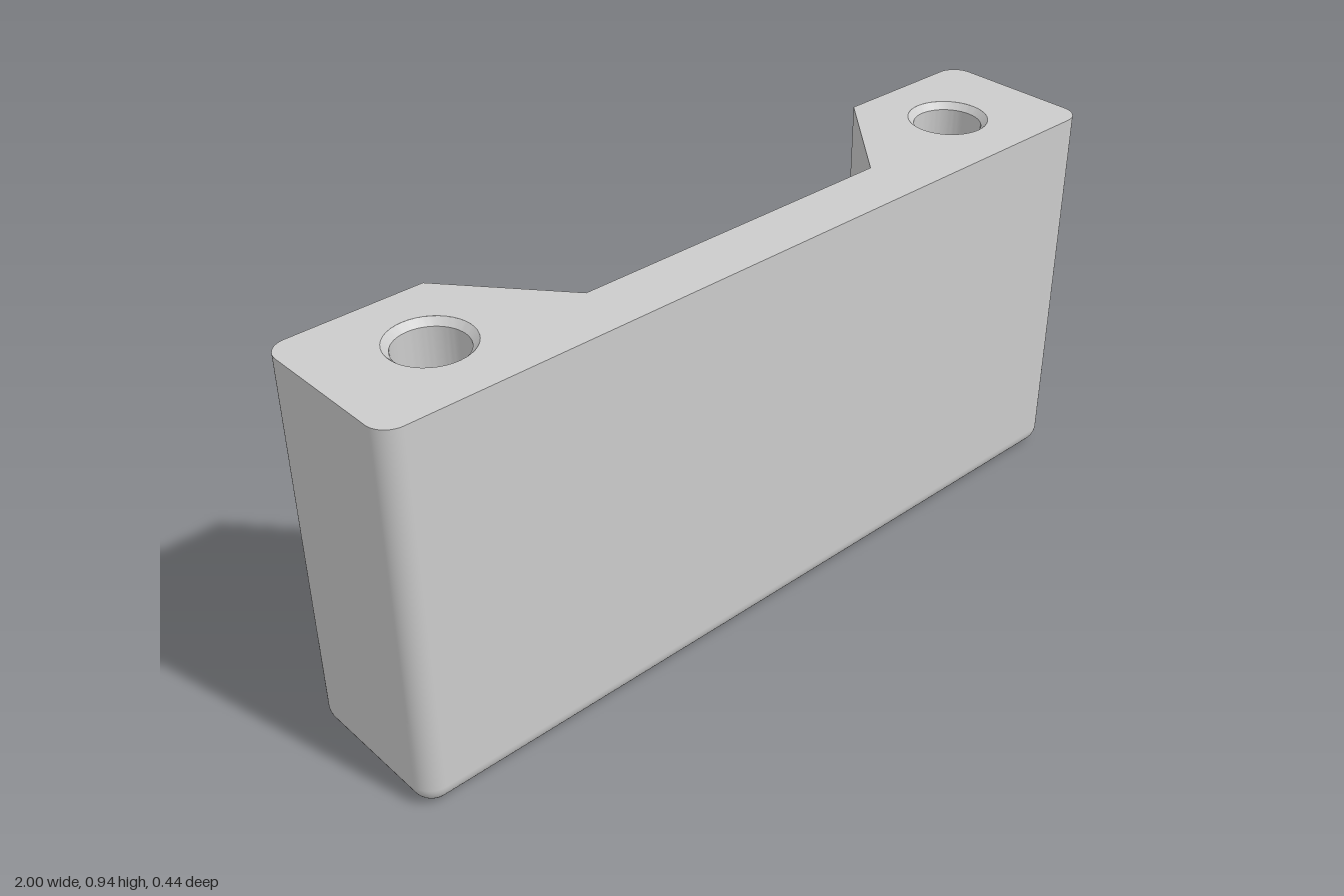
import * as THREE from 'three';
import { toCreasedNormals } from 'three/addons/utils/BufferGeometryUtils.js';

const W = 1, BACK = -0.18, FRONT = 0.22, TOP = 0.945, R = 0.05;
const FLOOR = 0.23, FLOOR_IN = 0.44;          // pocket floor height at the back and at the inner wall
const OUT_X = 0.63, IN_X = 0.415, IN_Z = 0.075; // pocket trapezoid
const HOLE_X = 0.75, HOLE_Z = 0.015, HOLE_R = 0.095;
const CX = W - R, CF = FRONT - R, CB = BACK + R; // centres of the corner rounding

const material = new THREE.MeshStandardMaterial({ color: 0xcccccc });

function add(group, name, geometry) {
  const mesh = new THREE.Mesh(geometry, material);
  mesh.name = name;
  group.add(mesh);
  return mesh;
}

// Lower block: rounded-rectangle rings sweeping round the bottom edge, then straight up
function lowerBlock() {
  const corners = [[CX, CF], [-CX, CF], [-CX, CB], [CX, CB]];
  const seg = 10, n = 4 * (seg + 1), pos = [], nor = [], idx = [];
  const ring = (t, y) => corners.forEach(([cx, cz], c) => {
    for (let i = 0; i <= seg; i++) {
      const a = (c + i / seg) * Math.PI / 2;
      const nx = Math.cos(a) * Math.sin(t), nz = Math.sin(a) * Math.sin(t);
      pos.push(cx + R * nx, y, cz + R * nz);
      nor.push(nx, -Math.cos(t), nz);
    }
  });
  for (let j = 0; j <= seg; j++) {
    const t = j / seg * Math.PI / 2;
    ring(t, R - R * Math.cos(t));
  }
  ring(Math.PI / 2, FLOOR);
  for (let j = 0; j <= seg; j++) {
    for (let i = 0; i < n; i++) {
      const k = (i + 1) % n, a = j * n, b = a + n;
      idx.push(a + i, b + i, a + k, a + k, b + i, b + k);
    }
  }
  const s = seg + 1;
  idx.push(0, s, 2 * s, 0, 2 * s, 3 * s); // underside
  const g = new THREE.BufferGeometry();
  g.setAttribute('position', new THREE.Float32BufferAttribute(pos, 3));
  g.setAttribute('normal', new THREE.Float32BufferAttribute(nor, 3));
  g.setIndex(idx);
  return g;
}

// Upper block: U-shaped plan (shape y = -z) with two holes, extruded upward
function upperBlock() {
  const s = new THREE.Shape(), q = Math.PI / 2;
  s.moveTo(-CX, -FRONT);
  s.absarc(CX, -CF, R, -q, 0);
  s.absarc(CX, -CB, R, 0, q);
  s.lineTo(OUT_X, -BACK);
  s.lineTo(IN_X, -IN_Z);
  s.lineTo(-IN_X, -IN_Z);
  s.lineTo(-OUT_X, -BACK);
  s.absarc(-CX, -CB, R, q, 2 * q);
  s.absarc(-CX, -CF, R, 2 * q, 3 * q);
  for (const side of [-1, 1]) {
    s.holes.push(new THREE.Path().absarc(side * HOLE_X, -HOLE_Z, HOLE_R, 0, 4 * q, true));
  }
  const g = new THREE.ExtrudeGeometry(s, { depth: TOP - FLOOR, bevelEnabled: false, curveSegments: 20 });
  g.rotateX(-q).translate(0, FLOOR, 0);
  // Smooth normals on the rounded vertical edges only
  const p = g.attributes.position, nrm = g.attributes.normal, e = 1e-4;
  for (let i = 0; i < p.count; i++) {
    const x = p.getX(i), z = p.getZ(i);
    if (Math.abs(nrm.getY(i)) > 0.5 || Math.abs(x) < CX - e) continue;
    const cz = z > CF - e ? CF : z < CB + e ? CB : null;
    if (cz !== null) nrm.setXYZ(i, (x - Math.sign(x) * CX) / R, 0, (z - cz) / R);
  }
  return g;
}

// Sloping pocket floor
function pocketFloor() {
  const g = new THREE.BufferGeometry();
  g.setAttribute('position', new THREE.Float32BufferAttribute([
    -OUT_X, FLOOR, BACK, -IN_X, FLOOR_IN, IN_Z,
    IN_X, FLOOR_IN, IN_Z, OUT_X, FLOOR, BACK], 3));
  g.setIndex([0, 1, 2, 0, 2, 3]);
  g.computeVertexNormals();
  return g;
}

// Blind hole: chamfered rim, straight wall and conical bottom
function holeLining() {
  const pts = [[HOLE_R, TOP], [0.08, TOP - 0.015], [0.08, 0.5], [0, 0.455]];
  return toCreasedNormals(new THREE.LatheGeometry(pts.map(([x, y]) => new THREE.Vector2(x, y)), 80), 0.4);
}

// Snap rib: 45 degree flanks with a rounded crest (shape x = -z), extruded along x
function snapRib() {
  const s = new THREE.Shape(), len = 1.79;
  s.moveTo(0.17, 0.12);
  s.lineTo(0.18, 0.12);
  s.absarc(0.1838, 0.175, 0.0362, -Math.PI / 4, Math.PI / 4);
  s.lineTo(0.18, 0.23);
  s.lineTo(0.17, 0.23);
  const g = new THREE.ExtrudeGeometry(s, { depth: len, bevelEnabled: false, curveSegments: 16 });
  g.rotateY(Math.PI / 2).translate(-len / 2, 0, 0);
  return toCreasedNormals(g, 0.4);
}

export function createModel() {
  const model = new THREE.Group();
  model.name = 'clipBlock';
  add(model, 'lowerBlock', lowerBlock());
  add(model, 'upperBlock', upperBlock());
  add(model, 'pocketFloor', pocketFloor());
  add(model, 'snapRib', snapRib());
  for (const [name, side] of [['rightScrewHole', -1], ['leftScrewHole', 1]]) {
    add(model, name, holeLining()).position.set(side * HOLE_X, 0, HOLE_Z);
  }
  return model;
}
